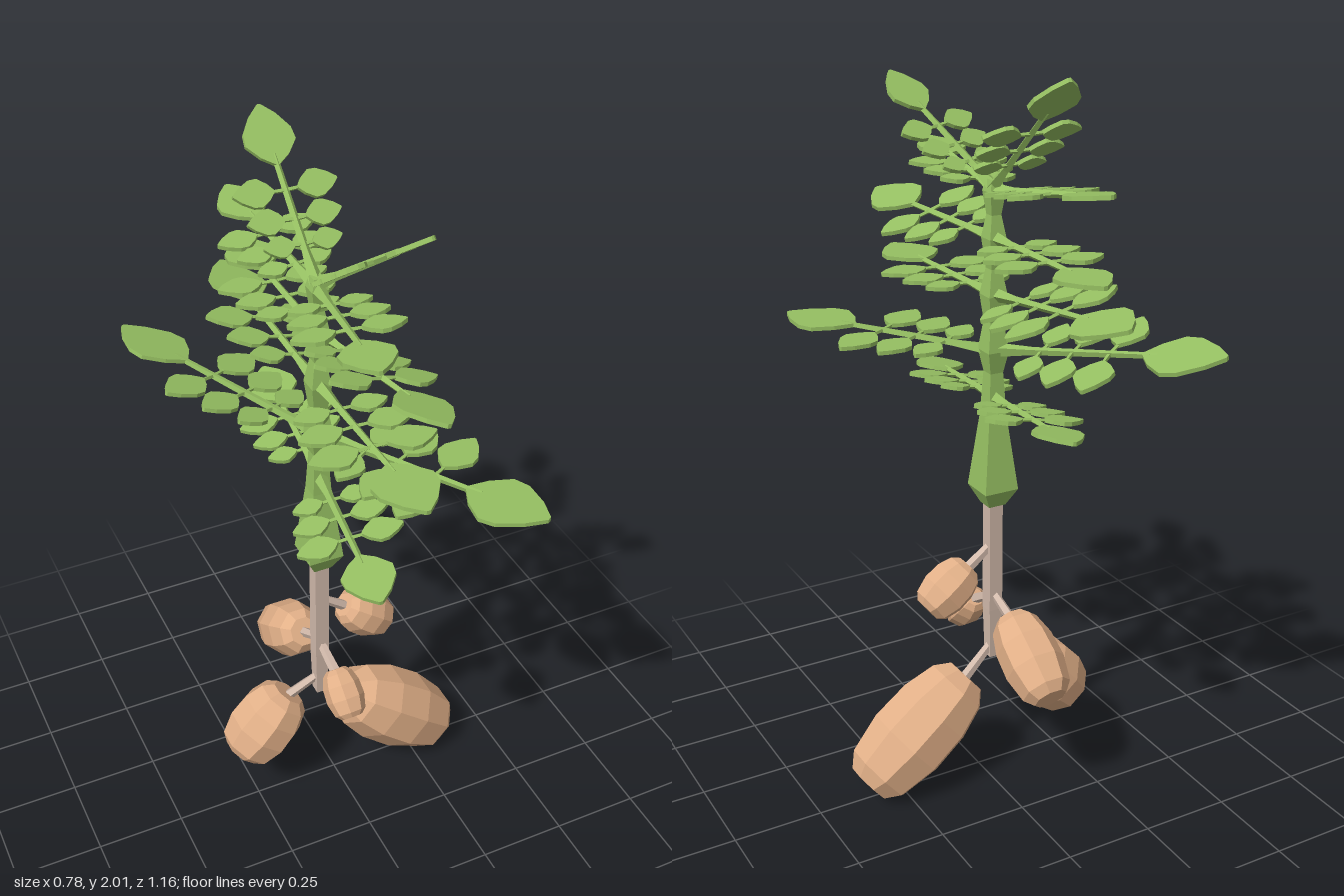
import * as THREE from 'three';

const V = (x, y, z) => new THREE.Vector3(x, y, z);
const material = (color) => new THREE.MeshStandardMaterial({ color, flatShading: true });
const UP = V(0, 1, 0);
const CX = -0.045; // x of the stem axis

export function createModel() {
  const model = new THREE.Group();
  const green = material(0x96c062);
  const rootSkin = material(0xd2baab);
  const tuberSkin = material(0xe2b088);

  function add(parent, geometry, mat, name) {
    const mesh = new THREE.Mesh(geometry, mat);
    mesh.name = name;
    parent.add(mesh);
    return mesh;
  }

  // Tapered stick from a to b
  function stick(parent, a, b, ra, rb, mat, name, sides = 4) {
    const d = b.clone().sub(a);
    const m = add(parent, new THREE.CylinderGeometry(rb, ra, d.length(), sides), mat, name);
    m.position.copy(a).addScaledVector(d, 0.5);
    m.quaternion.setFromUnitVectors(UP, d.normalize());
  }

  // Four-sided solid from [halfWidth, y] rows
  function squareLathe(rows, mat, name) {
    const pts = rows.map(([r, y]) => new THREE.Vector2(r * Math.SQRT2, y));
    const m = add(model, new THREE.LatheGeometry(pts, 4, Math.PI / 4), mat, name);
    m.position.x = CX;
  }

  // Stem swelling at the bottom and at each leaf node; straight tap root
  squareLathe([[0, 0.82], [0.025, 0.82], [0.05, 0.87], [0.026, 1.08], [0.019, 1.2],
    [0.03, 1.26], [0.019, 1.34], [0.027, 1.41], [0.015, 1.48], [0.024, 1.56],
    [0.014, 1.62], [0.022, 1.68], [0.014, 1.71], [0, 1.71]], green, 'stem');
  squareLathe([[0, 0.35], [0.016, 0.35], [0.02, 0.5], [0.02, 0.84], [0, 0.84]], rootSkin, 'tapRoot');

  // Unit leaf: base at the origin, tip at y = 1, thin in z
  const half = [[0.03, 0], [0.25, 0.14], [0.45, 0.36], [0.43, 0.56], [0.24, 0.82], [0.03, 1]];
  const outline = [...half, ...half.map(([x, y]) => [-x, y]).reverse()];
  const leafGeometry = new THREE.ExtrudeGeometry(
    new THREE.Shape(outline.map(([x, y]) => new THREE.Vector2(x, y))),
    { depth: 1, bevelEnabled: false });
  leafGeometry.translate(0, 0, -0.5);

  function leaf(parent, base, dir, across, length, width, name) {
    const m = add(parent, leafGeometry, green, name);
    const normal = across.clone().cross(dir);
    m.quaternion.setFromRotationMatrix(new THREE.Matrix4().makeBasis(across, dir, normal));
    m.position.copy(base);
    m.scale.set(width, length, 0.011);
  }

  // Compound leaf: stalk, three pairs of leaflets and a larger end leaf
  function frond(y, tip, roll) {
    const group = new THREE.Group();
    group.name = 'frond';
    model.add(group);
    const start = V(CX, y, 0);
    const dir = tip.clone().sub(start);
    const L = dir.length();
    dir.normalize();
    const normal = V(1, roll, 0).cross(dir).normalize();
    const across = dir.clone().cross(normal).normalize();
    const at = (t) => start.clone().addScaledVector(dir, t * L);

    stick(group, start, at(0.18), 0.02, 0.011, green, 'stalkBase');
    stick(group, at(0.18), at(0.72), 0.011, 0.008, green, 'stalk');
    leaf(group, at(0.66), dir, across, 0.34 * L, 0.31 * L, 'endLeaf');

    [[0.22, 0.75], [0.36, 0.9], [0.52, 1]].forEach(([t, size]) => {
      for (const side of [1, -1]) {
        const out = across.clone().multiplyScalar(side).addScaledVector(dir, 0.05).normalize();
        const base = at(t).addScaledVector(out, 0.065 * L * size);
        stick(group, at(t), base, 0.006, 0.005, green, 'leafletStalk');
        const leafAcross = out.clone().cross(normal).normalize();
        leaf(group, base, out, leafAcross, 0.225 * L * size, 0.175 * L * size, 'leaflet');
      }
    });
  }

  // Node height, tip position, sideways tilt
  [[1.13, V(-0.1, 1.085, 0.48), 0.16], [1.13, V(0.0, 1.17, -0.47), 0.17],
    [1.26, V(0.3, 1.26, 0.56), 0], [1.26, V(-0.37, 1.35, -0.56), -0.27],
    [1.41, V(-0.04, 1.41, 0.58), 0], [1.41, V(-0.07, 1.47, -0.58), -0.25],
    [1.56, V(0.03, 1.59, 0.53), -0.28], [1.56, V(-0.04, 1.56, -0.52), 0],
    [1.68, V(-0.11, 1.73, 0.47), 0.03], [1.68, V(-0.09, 1.75, -0.46), 0.03],
    [1.69, V(0.08, 1.94, 0.33), 0.15], [1.69, V(-0.04, 2, -0.35), 0],
  ].forEach((f) => frond(...f));

  // Tubers: barrel shapes, each hung from the tap root by a side root
  const barrel = [[0, 0], [0.5, 0], [0.78, 0.1], [0.97, 0.33], [1, 0.62], [0.82, 0.9], [0.55, 1], [0, 1]];
  function tuber(rootY, a, b, radius) {
    const d = b.clone().sub(a);
    const length = d.length();
    d.normalize();
    const pts = barrel.map(([r, t]) => new THREE.Vector2(r * radius, t * length));
    const m = add(model, new THREE.LatheGeometry(pts, 8, Math.PI / 8), tuberSkin, 'tuber');
    m.position.copy(a);
    m.quaternion.setFromUnitVectors(UP, d);
    stick(model, V(CX, rootY, 0), a.clone().addScaledVector(d, 0.02), 0.012, 0.016, rootSkin, 'sideRoot', 5);
  }
  tuber(0.39, V(0.04, 0.3, 0), V(0.35, 0.045, 0), 0.12);
  tuber(0.41, V(-0.135, 0.345, -0.025), V(-0.288, 0.17, -0.025), 0.1);
  tuber(0.7, V(0.03, 0.645, 0), V(0.16, 0.545, 0), 0.069);
  tuber(0.55, V(-0.055, 0.505, -0.085), V(-0.055, 0.36, -0.3), 0.085);
  tuber(0.54, V(-0.035, 0.495, 0.085), V(-0.03, 0.395, 0.185), 0.055);

  return model;
}
